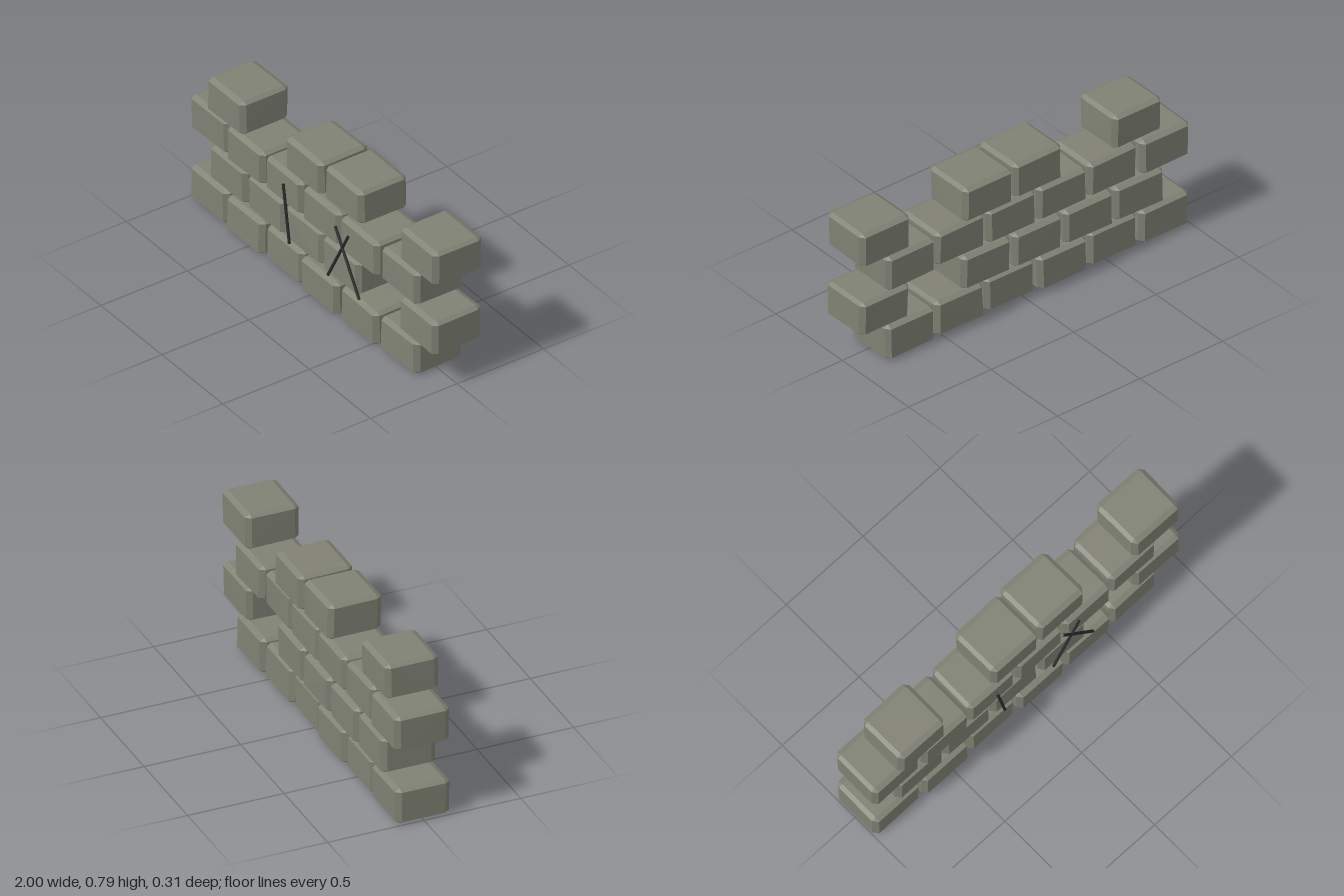
import * as THREE from 'three';
import { ConvexGeometry } from 'three/addons/geometries/ConvexGeometry.js';

const stone = new THREE.MeshStandardMaterial({ name: 'grey stone', color: 0x808274 });
const dark = new THREE.MeshStandardMaterial({ name: 'dark crack', color: 0x2a2c2b });

// Small seeded generator for the uneven corners
let seed = 7;
function jitter(amount) {
  seed = (seed * 16807) % 2147483647;
  return (seed / 2147483647 * 2 - 1) * amount;
}

// Chamfered block: three points at every corner, each corner slightly displaced
function brickGeometry(w, h, d) {
  const bx = 0.021, by = 0.014, bz = 0.027;
  const points = [];
  for (const sx of [-1, 1]) for (const sy of [-1, 1]) for (const sz of [-1, 1]) {
    const x = w / 2 + jitter(0.003) - 0.002;
    const y = h / 2 + jitter(0.002) - 0.002;
    const z = d / 2 + jitter(0.003);
    points.push(
      new THREE.Vector3(sx * x, sy * (y - by), sz * (z - bz)),
      new THREE.Vector3(sx * (x - bx), sy * y, sz * (z - bz)),
      new THREE.Vector3(sx * (x - bx), sy * (y - by), sz * z)
    );
  }
  return new ConvexGeometry(points);
}

// Each course: first brick centre, and depth offset per brick (null = missing)
const courses = [
  { start: -0.85, offsets: [0, 0.01, -0.004, 0.014, 0.004, -0.008] },
  { start: -0.695, offsets: [-0.004, -0.006, -0.008, -0.005, null, -0.008] },
  { start: -0.85, offsets: [-0.005, 0.007, 0, 0, 0.004, -0.013] },
  { start: -0.695, offsets: [0.013, null, -0.005, -0.016, null, -0.013] },
];

// Thin straight bar between two points on the front
function crack(x1, y1, x2, y2) {
  const a = new THREE.Vector3(x1, y1, 0.147), b = new THREE.Vector3(x2, y2, 0.147);
  const mesh = new THREE.Mesh(new THREE.CylinderGeometry(0.0075, 0.0075, a.distanceTo(b), 8), dark);
  mesh.position.copy(a).lerp(b, 0.5);
  mesh.quaternion.setFromUnitVectors(new THREE.Vector3(0, 1, 0), b.sub(a).normalize());
  mesh.name = 'crack';
  return mesh;
}

export function createModel() {
  const model = new THREE.Group();
  model.name = 'ruinedWall';

  // Staggered courses of bricks
  courses.forEach(({ start, offsets }, row) => {
    const course = new THREE.Group();
    course.name = 'course' + (row + 1);
    offsets.forEach((z, i) => {
      if (z === null) return;
      const brick = new THREE.Mesh(brickGeometry(0.3, 0.19, 0.28), stone);
      brick.name = 'brick';
      brick.position.set(start + i * 0.309, 0.095 + row * 0.1985, z);
      course.add(brick);
    });
    model.add(course);
  });

  // Cracks on the front: one alone and a crossed pair
  model.add(
    crack(-0.165, 0.206, -0.215, 0.518),
    crack(0.408, 0.206, 0.211, 0.518),
    crack(0.152, 0.206, 0.318, 0.518)
  );
  return model;
}
